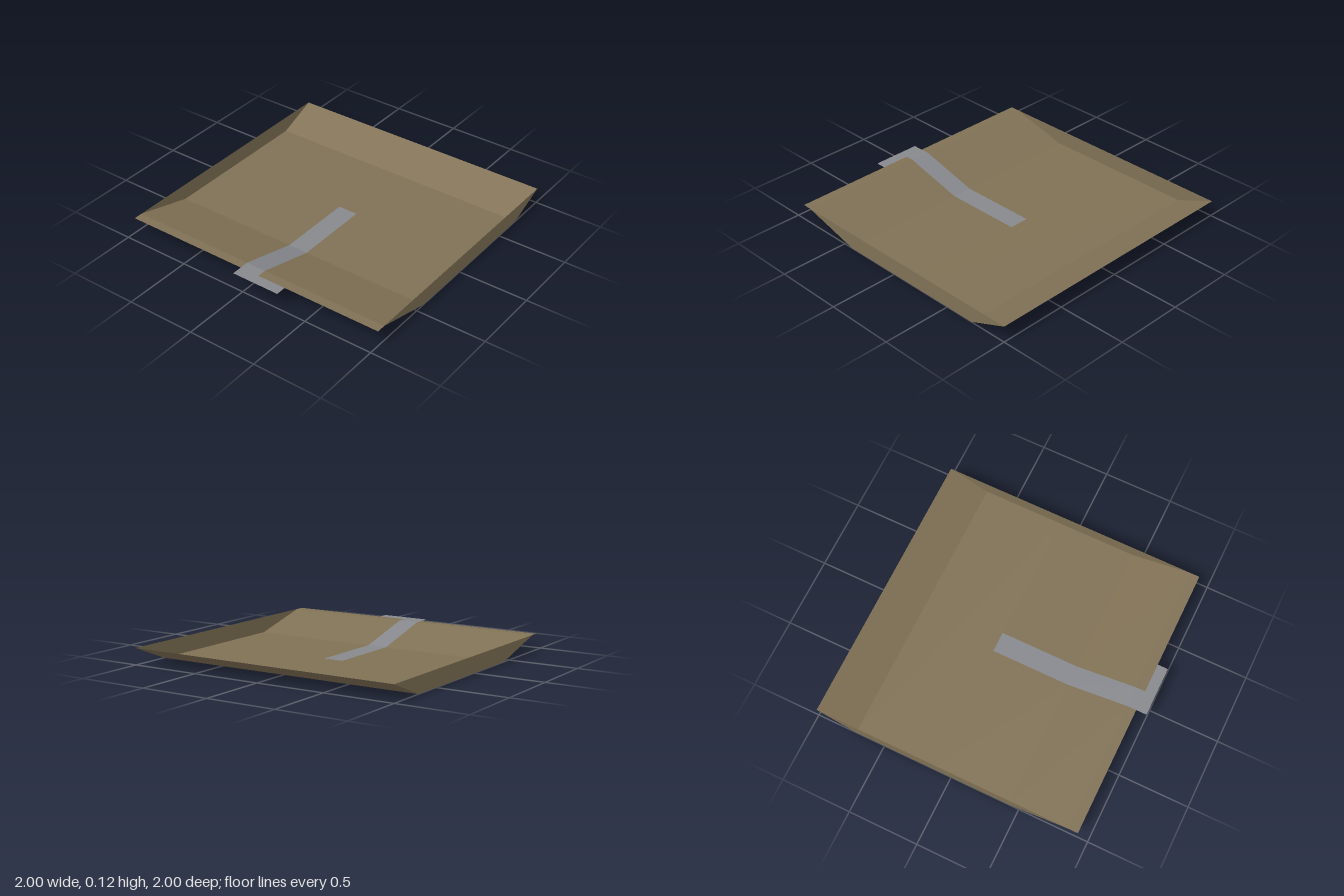
import * as THREE from 'three';

const H = 0.115;
// Profile stations as [z, y], from back rim to front lip
const BACK = [[-1, H], [-0.715, 0], [-0.14, 0]];
const FRONT = [[-0.14, 0], [0.425, 0], [0.86, H], [0.925, H]];

// Zero-thickness folded sheet spanning x0..x1 along a z/y profile, facing up
function foldedSheet(name, x0, x1, profile, material) {
  const pos = [];
  for (let i = 0; i < profile.length - 1; i++) {
    const [za, ya] = profile[i];
    const [zb, yb] = profile[i + 1];
    pos.push(x0, ya, za, x0, yb, zb, x1, yb, zb);
    pos.push(x0, ya, za, x1, yb, zb, x1, ya, za);
  }
  const geometry = new THREE.BufferGeometry();
  geometry.setAttribute('position', new THREE.Float32BufferAttribute(pos, 3));
  geometry.computeVertexNormals();
  const mesh = new THREE.Mesh(geometry, material);
  mesh.name = name;
  return mesh;
}

export function createModel() {
  const model = new THREE.Group();
  model.name = 'shallowTray';

  const brown = new THREE.MeshStandardMaterial({ color: 0x807155, side: THREE.DoubleSide });
  brown.name = 'earthBrown';
  const grey = new THREE.MeshStandardMaterial({ color: 0x86888d, side: THREE.DoubleSide });
  grey.name = 'pathGrey';

  // Folded floor, split around the inlaid strip
  const w = 0.073;
  model.add(
    foldedSheet('backFloor', -1, 1, BACK, brown),
    foldedSheet('frontFloorRight', -1, -w, FRONT, brown),
    foldedSheet('frontFloorLeft', w, 1, FRONT, brown),
    foldedSheet('strip', -w, w, FRONT, grey),
    foldedSheet('stripFoot', -w, 0.285, [[0.925, H], [1, H]], grey)
  );

  // Upright trapezoid end walls; shape x runs along -z
  const outline = [[-0.86, H], [-0.425, 0], [0.715, 0], [1, H]];
  const shape = new THREE.Shape(outline.map(([x, y]) => new THREE.Vector2(x, y)));
  for (const side of [-1, 1]) {
    const geometry = new THREE.ShapeGeometry(shape);
    if (side < 0) geometry.scale(-1, 1, 1);
    // Mirroring reverses the winding, so restore the outward order
    if (side < 0) {
      const index = geometry.index;
      for (let i = 0; i < index.count; i += 3) {
        const a = index.getX(i);
        index.setX(i, index.getX(i + 1));
        index.setX(i + 1, a);
      }
    }
    geometry.rotateY(side * Math.PI / 2);
    const wall = new THREE.Mesh(geometry, brown);
    wall.name = side < 0 ? 'rightWall' : 'leftWall';
    wall.position.x = side;
    model.add(wall);
  }
  return model;
}
